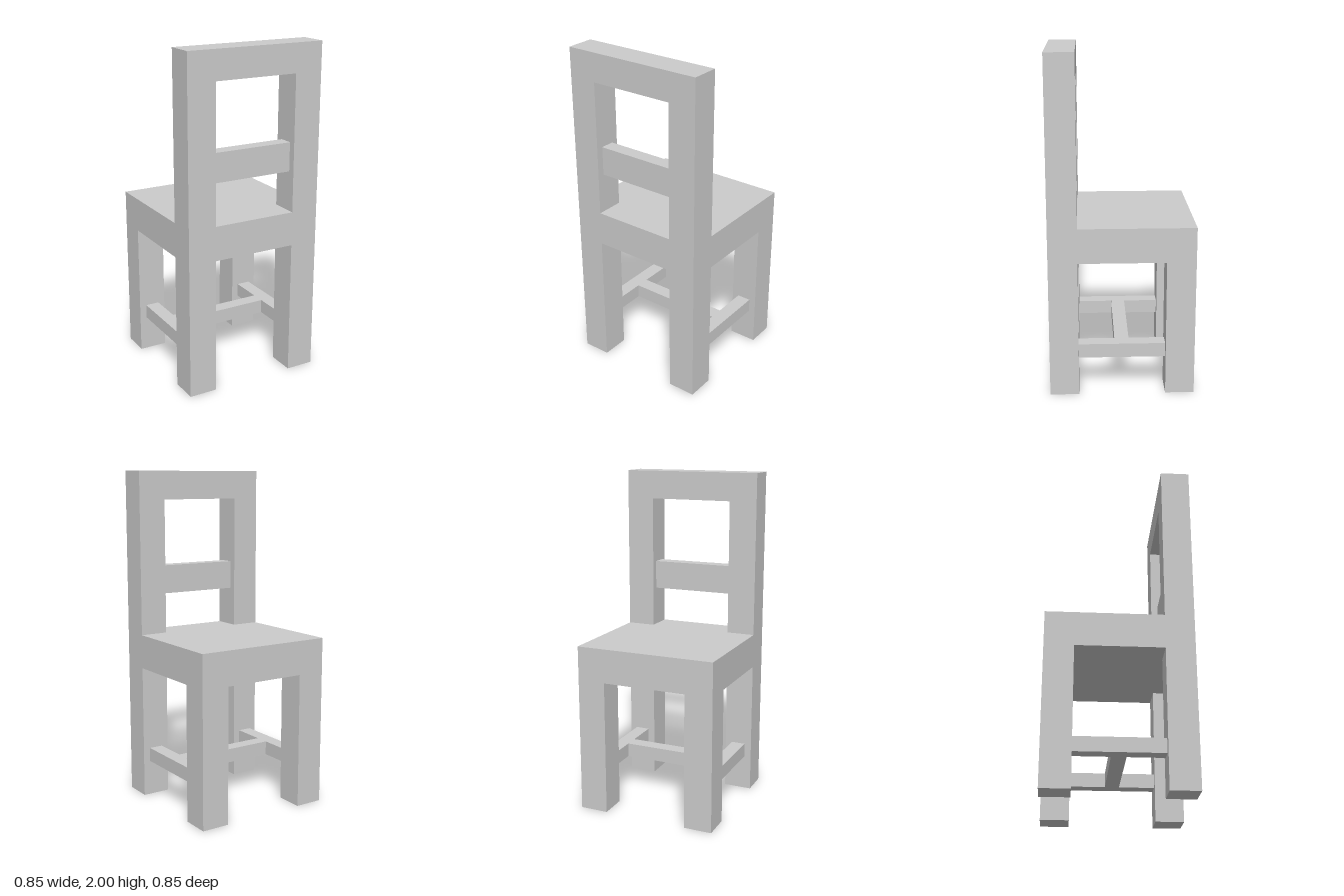
import * as THREE from 'three';

const material = new THREE.MeshStandardMaterial({ color: 0xcccccc, flatShading: true });

// Box given by its lower and upper corners
function box(name, [x0, y0, z0], [x1, y1, z1]) {
  const mesh = new THREE.Mesh(new THREE.BoxGeometry(x1 - x0, y1 - y0, z1 - z0), material);
  mesh.name = name;
  mesh.position.set((x0 + x1) / 2, (y0 + y1) / 2, (z0 + z1) / 2);
  return mesh;
}

export function createModel() {
  const chair = new THREE.Group();
  chair.name = 'chair';

  const outer = 0.425, inner = 0.255, mid = 0.34; // half width, inside and centre line of the legs
  const half = 0.0425;                            // half thickness of slat and stretchers
  const seatBottom = 0.815, seatTop = 1.02, railBottom = 1.83, top = 2;
  const low = 0.215, high = 0.3;                  // stretcher heights

  // Thick seat slab, flush with the legs
  chair.add(box('seat', [-outer, seatBottom, -outer], [outer, seatTop, outer]));

  for (const [side, s] of [['left', 1], ['right', -1]]) {
    const x0 = s > 0 ? inner : -outer, x1 = s > 0 ? outer : -inner;

    // Four legs, and back posts above the seat at +z
    chair.add(box(side + 'PlainLeg', [x0, 0, -outer], [x1, seatBottom, -inner]));
    chair.add(box(side + 'BackrestLeg', [x0, 0, inner], [x1, seatBottom, outer]));
    chair.add(box(side + 'BackPost', [x0, seatTop, inner], [x1, railBottom, outer]));

    // Side stretcher between the legs
    chair.add(box(side + 'Stretcher', [s * mid - half, low, -inner], [s * mid + half, high, inner]));
  }

  // Cross stretcher completing the H
  chair.add(box('crossStretcher', [-mid + half, low, -half], [mid - half, high, half]));

  // Backrest: top rail and thinner centred slat
  chair.add(box('topRail', [-outer, railBottom, inner], [outer, top, outer]));
  chair.add(box('backSlat', [-inner, 1.257, mid - half], [inner, 1.43, mid + half]));

  return chair;
}
